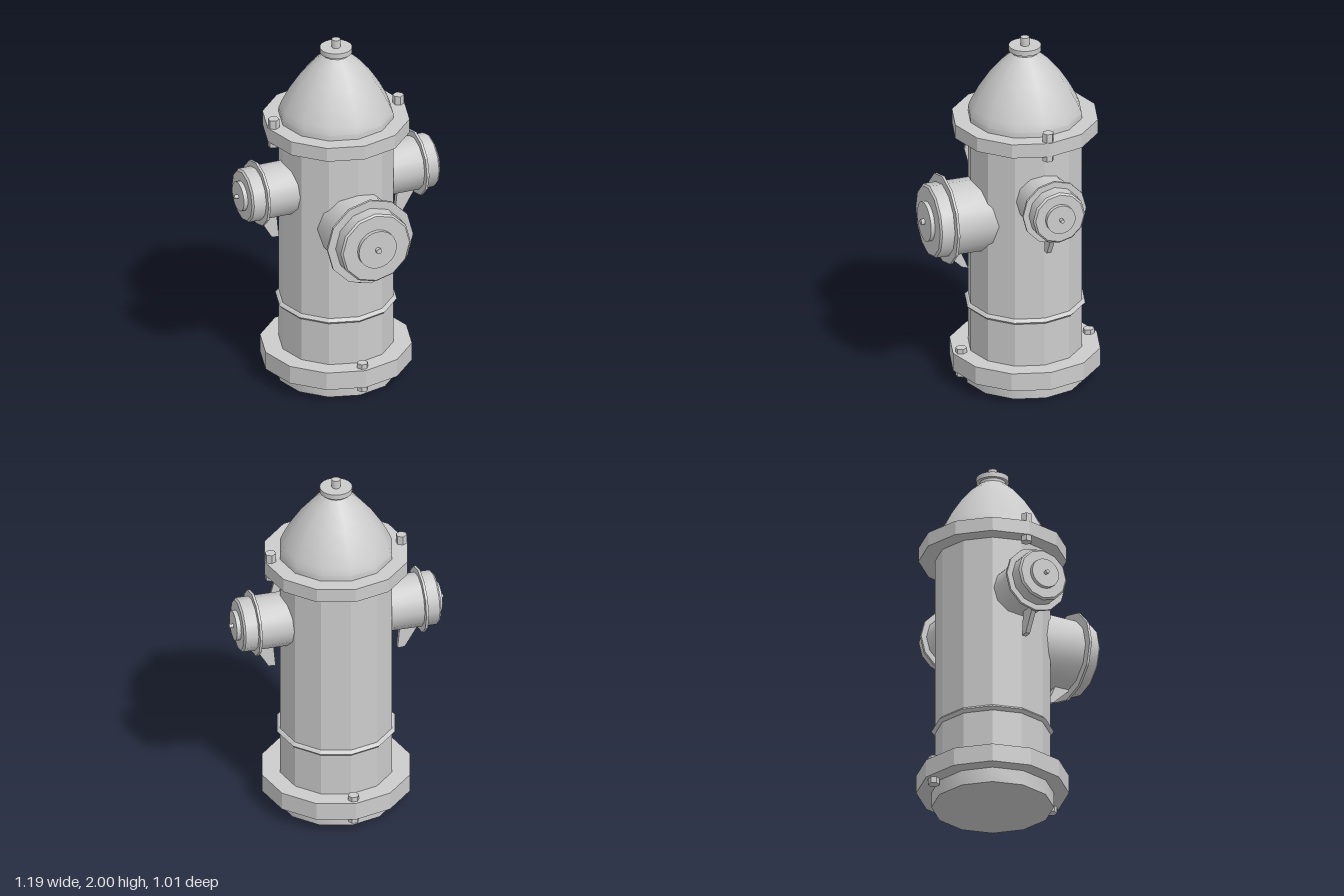
import * as THREE from 'three';
import { toCreasedNormals } from 'three/addons/utils/BufferGeometryUtils.js';

const SIDES = 12;
const SMOOTH = 0.62; // softer than the 30 degree facets, keeps sharper edges
const FLAT = 0.1;
const AXIS_Z = -0.093; // the barrel stands slightly behind the centre
const material = new THREE.MeshStandardMaterial({ color: 0xcccccc });

function addMesh(parent, name, geometry) {
  const mesh = new THREE.Mesh(geometry, material);
  mesh.name = name;
  parent.add(mesh);
  return mesh;
}

// Turned part from [radius, height] pairs, listed bottom to top
function turned(parent, name, profile, crease = FLAT, sides = SIDES) {
  const points = profile.map(([r, y]) => new THREE.Vector2(r, y));
  return addMesh(parent, name, toCreasedNormals(new THREE.LatheGeometry(points, sides), crease));
}

// Solid drum between two heights
function drum(parent, name, r, y0, y1, crease = FLAT, sides = SIDES) {
  return turned(parent, name, [[0, y0], [r, y0], [r, y1], [0, y1]], crease, sides);
}

// Outlet pointing along +z, with cap, collar, stem and a fin underneath
function nozzle(name, { r, end, collarR, collarAt, discR, discEnd, stemR, stemEnd, fin, finWidth }) {
  const group = new THREE.Group();
  group.name = name;
  const turnedParts = new THREE.Group();
  turnedParts.name = name + 'Barrel';
  turnedParts.rotation.x = Math.PI / 2;
  group.add(turnedParts);

  turned(turnedParts, 'outlet',
    [[0, 0.1], [r, 0.1], [r, end - 0.01], [r - 0.01, end], [0, end]], SMOOTH);
  drum(turnedParts, 'collar', collarR, collarAt - 0.007, collarAt + 0.007);
  drum(turnedParts, 'capDisc', discR, end - 0.01, discEnd, SMOOTH, 24);
  drum(turnedParts, 'capStem', stemR, discEnd - 0.01, stemEnd, SMOOTH, 12);

  // Fin outline is drawn in z and y, then turned into the outlet's plane
  const shape = new THREE.Shape(fin.map(([z, y]) => new THREE.Vector2(-z, y)));
  const geometry = new THREE.ExtrudeGeometry(shape, { depth: finWidth, bevelEnabled: false });
  geometry.translate(0, 0, -finWidth / 2).rotateY(Math.PI / 2);
  addMesh(group, 'fin', geometry);
  return group;
}

// Hexagonal bolt heads above and below a flange
function bolt(parent, name, x, z, y0, y1, turn) {
  const mesh = drum(parent, name, 0.031, y0, y1, FLAT, 6);
  mesh.position.set(x, 0, z);
  mesh.rotation.y = turn;
}

export function createModel() {
  const model = new THREE.Group();
  model.name = 'hydrant';
  const body = new THREE.Group();
  body.name = 'body';
  body.position.z = AXIS_Z;
  model.add(body);

  // Base, barrel and flanges
  drum(body, 'base', 0.33, 0, 0.1, SMOOTH);
  drum(body, 'lowerFlange', 0.412, 0.085, 0.187);
  drum(body, 'barrel', 0.311, 0.17, 1.48);
  turned(body, 'barrelRing',
    [[0.3, 0.43], [0.318, 0.437], [0.33, 0.45], [0.318, 0.463], [0.3, 0.47]]);
  drum(body, 'upperFlange', 0.399, 1.46, 1.54);

  // Dome and its top fitting
  turned(body, 'dome', [
    [0.311, 1.53], [0.311, 1.57], [0.295, 1.61], [0.254, 1.69],
    [0.195, 1.78], [0.127, 1.86], [0.07, 1.91],
  ], SMOOTH);
  drum(body, 'domeNeck', 0.07, 1.9, 1.928, SMOOTH, 24);
  drum(body, 'domeCap', 0.088, 1.924, 1.953, SMOOTH, 24);
  drum(body, 'domeStem', 0.024, 1.95, 2, SMOOTH, 12);

  // Bolts: sides of the upper flange, front and back of the lower flange
  for (const s of [-1, 1]) {
    bolt(body, 'upperBolt', s * 0.365, 0, 1.427, 1.59, 0);
    bolt(body, 'lowerBolt', 0, s * 0.365, 0.05, 0.214, Math.PI / 2);
  }

  // Large front outlet
  const front = nozzle('frontNozzle', {
    r: 0.204, end: 0.555, collarR: 0.25, collarAt: 0.467,
    discR: 0.11, discEnd: 0.577, stemR: 0.016, stemEnd: 0.597,
    fin: [[0.47, -0.18], [0.462, -0.205], [0.368, -0.295], [0.33, -0.307], [0.385, -0.18]],
    finWidth: 0.04,
  });
  front.position.y = 0.995;
  body.add(front);

  // Smaller outlets on both sides
  for (const [name, s] of [['leftNozzle', 1], ['rightNozzle', -1]]) {
    const side = nozzle(name, {
      r: 0.148, end: 0.55, collarR: 0.181, collarAt: 0.463,
      discR: 0.082, discEnd: 0.573, stemR: 0.011, stemEnd: 0.596,
      fin: [[0.455, -0.12], [0.452, -0.16], [0.38, -0.28], [0.34, -0.282], [0.355, -0.12]],
      finWidth: 0.026,
    });
    side.position.y = 1.162;
    side.rotation.y = s * Math.PI / 2;
    body.add(side);
  }

  return model;
}
